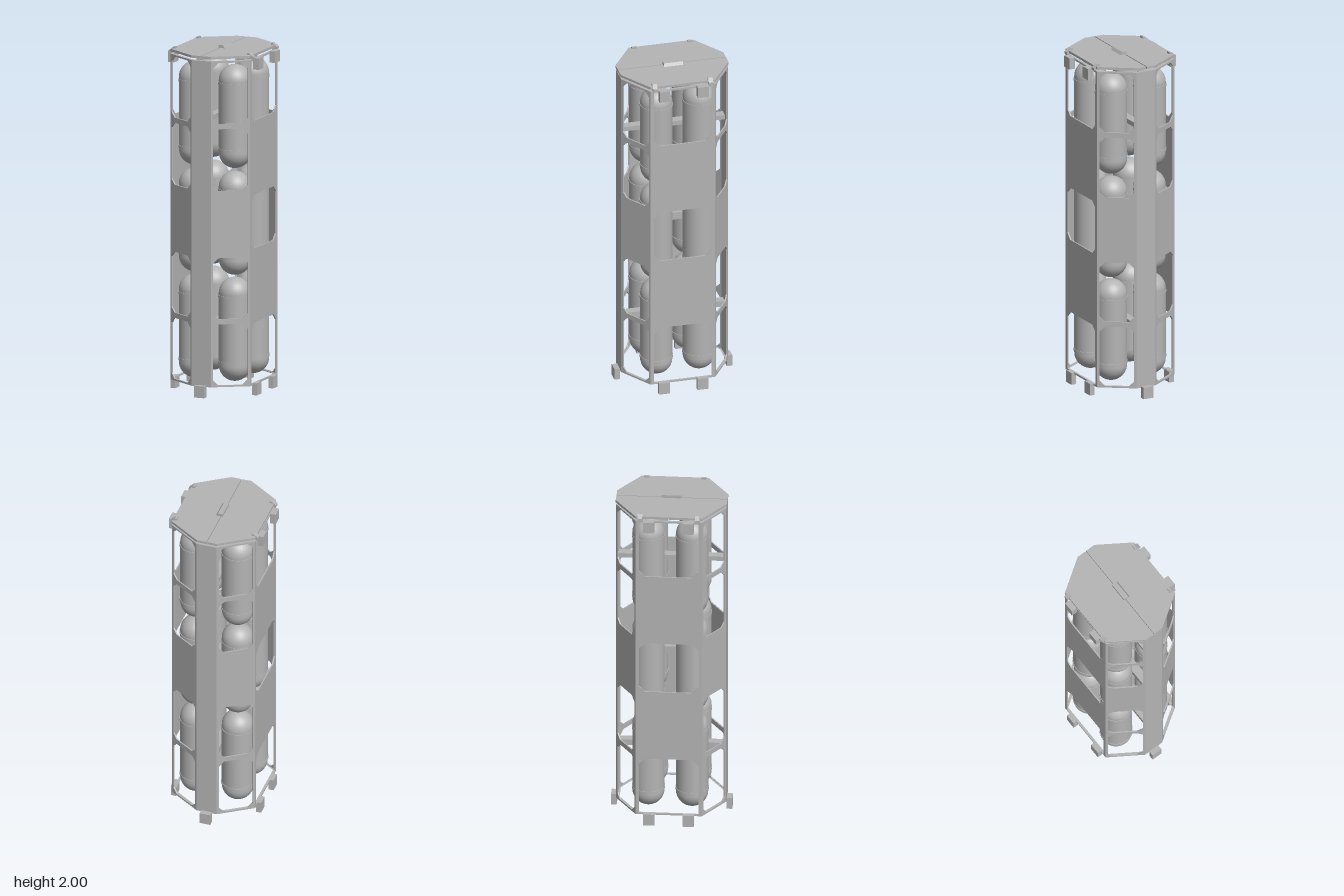
import * as THREE from 'three';

const OUTLINE = [[0.06, 0.315], [0.25, 0.19], [0.25, -0.19], [0.06, -0.315],
  [-0.06, -0.315], [-0.25, -0.19], [-0.25, 0.19], [-0.06, 0.315]];
const BOTTOM = 0.06, TOP = 1.955, WALL = 0.008;

export function createModel() {
  const model = new THREE.Group();
  model.name = 'tankRack';
  const grey = new THREE.MeshStandardMaterial({ color: 0xb4b4b4 });
  grey.name = 'grey metal';

  const add = (name, geometry, x = 0, y = 0, z = 0, parent = model) => {
    const mesh = new THREE.Mesh(geometry, grey);
    mesh.name = name;
    mesh.position.set(x, y, z);
    parent.add(mesh);
    return mesh;
  };
  const box = (name, w, h, d, x, y, z) => add(name, new THREE.BoxGeometry(w, h, d), x, y, z);
  const polygon = (points, Type = THREE.Shape) => new Type(points.map(p => new THREE.Vector2(...p)));
  const extrude = (shape, depth) => new THREE.ExtrudeGeometry(shape, { depth, bevelEnabled: false });

  // Window opening with cut corners; lower and upper cuts are set separately
  const opening = (half, y0, y1, c0, c1) => polygon([
    [-half + c0, y0], [half - c0, y0], [half, y0 + c0], [half, y1 - c1],
    [half - c1, y1], [-half + c1, y1], [-half, y1 - c1], [-half, y0 + c0]], THREE.Path);

  // Flat wall panel whose outer face passes through (x, z) with normal (nx, nz)
  const panel = (name, width, holes, x, z, nx, nz) => {
    const w = width / 2;
    const shape = polygon([[-w, BOTTOM], [w, BOTTOM], [w, TOP], [-w, TOP]]);
    shape.holes.push(...holes);
    const len = Math.hypot(nx, nz);
    const mesh = add(name, extrude(shape, WALL), x - nx / len * WALL, 0, z - nz / len * WALL);
    mesh.rotation.y = Math.atan2(nx, nz);
  };

  const sideHoles = () => [
    opening(0.17, 0.07, 0.42, 0.002, 0.035),
    opening(0.17, 0.852, 1.165, 0.035, 0.035),
    opening(0.17, 1.595, 1.945, 0.035, 0.002)];
  const cornerHoles = () => [[0.07, 0.425], [0.455, 0.81], [1.2, 1.56], [1.59, 1.945]]
    .map(([y0, y1]) => opening(0.1, y0, y1, 0.03, 0.03));

  // Eight walls
  for (const s of [1, -1]) {
    panel(s > 0 ? 'frontWall' : 'backWall', 0.12, [], 0, s * 0.315, 0, s);
    panel(s > 0 ? 'leftWall' : 'rightWall', 0.38, sideHoles(), s * 0.25, 0, s, 0);
    for (const t of [1, -1]) {
      panel('cornerWall', 0.2274, cornerHoles(), s * 0.155, t * 0.2525, s * 0.125, t * 0.19);
    }
  }

  // Split octagonal lid held just above the walls
  const lid = new THREE.Group();
  lid.name = 'lid';
  model.add(lid);
  const halfLid = side => {
    const seam = side > 0 ? 0.001 : 0.005;
    const g = extrude(polygon([[seam, -0.318], [0.06, -0.318], [0.25, -0.191],
      [0.25, 0.191], [0.06, 0.318], [seam, 0.318]].map(([x, y]) => [x * side, y])), 0.014);
    g.rotateX(-Math.PI / 2);
    return g;
  };
  add('leftLidHalf', halfLid(1), 0, 1.969, 0, lid);
  add('rightLidHalf', halfLid(-1), 0, 1.969, 0, lid);
  add('seamStrip', new THREE.BoxGeometry(0.03, 0.004, 0.62), 0, 1.969, 0, lid);

  // Handle with one sloping edge
  add('lidHandle', extrude(polygon([[-0.012, 1.982], [0.03, 1.982], [0.018, 2], [-0.012, 2]]), 0.112),
    0, 0, -0.059, lid);

  for (const s of [1, -1]) {
    // Front and back legs
    box('endLeg', 0.064, 0.068, 0.032, 0, 0.034, s * 0.331);
    for (const t of [1, -1]) {
      // Side legs, top brackets and lid hinges
      box('sideLeg', 0.03, 0.07, 0.064, s * 0.256, 0.035, t * 0.113);
      box('topBracket', 0.035, 0.067, 0.064, s * 0.2665, 1.928, t * 0.113);
      const profile = [[0.225, 1.96], [0.263, 1.96], [0.263, 1.974], [0.237, 1.994], [0.225, 1.994]];
      add('lidHinge', extrude(polygon(profile.map(([x, y]) => [x * s, y])), 0.027),
        0, 0, t * 0.164 - 0.0135);
    }
  }

  // Cross beams between the front and back walls
  for (const [y, h, d] of [[0.402, 0.034, 0.61], [1.008, 0.045, 0.61], [1.609, 0.027, 0.61]]) {
    box('crossBeam', 0.05, h, d, 0, y, 0);
  }

  // Capsule tanks: three layers of four, each with two bands
  const R = 0.0925;
  const tankGeometry = new THREE.CapsuleGeometry(R, 0.603 - 2 * R, 10, 32);
  const bandGeometry = new THREE.CylinderGeometry(R + 0.003, R + 0.003, 0.014, 32);
  for (const y of [0.373, 0.99, 1.611]) {
    for (const x of [-0.125, 0.125]) {
      for (const z of [-0.125, 0.125]) {
        const tank = new THREE.Group();
        tank.name = 'tank';
        tank.position.set(x, y, z);
        model.add(tank);
        add('tankBody', tankGeometry, 0, 0, 0, tank);
        for (const s of [1, -1]) add('tankBand', bandGeometry, 0, s * 0.192, 0, tank);
      }
    }
  }

  // Slim rims that tie the walls together at both ends
  const rim = extrude((() => {
    const shape = polygon(OUTLINE);
    shape.holes.push(polygon(OUTLINE.map(([x, z]) => [x * 0.94, z * 0.94]), THREE.Path));
    return shape;
  })(), 0.008);
  rim.rotateX(-Math.PI / 2);
  add('bottomRim', rim, 0, BOTTOM, 0);
  add('topRim', rim, 0, TOP - 0.008, 0);

  return model;
}
